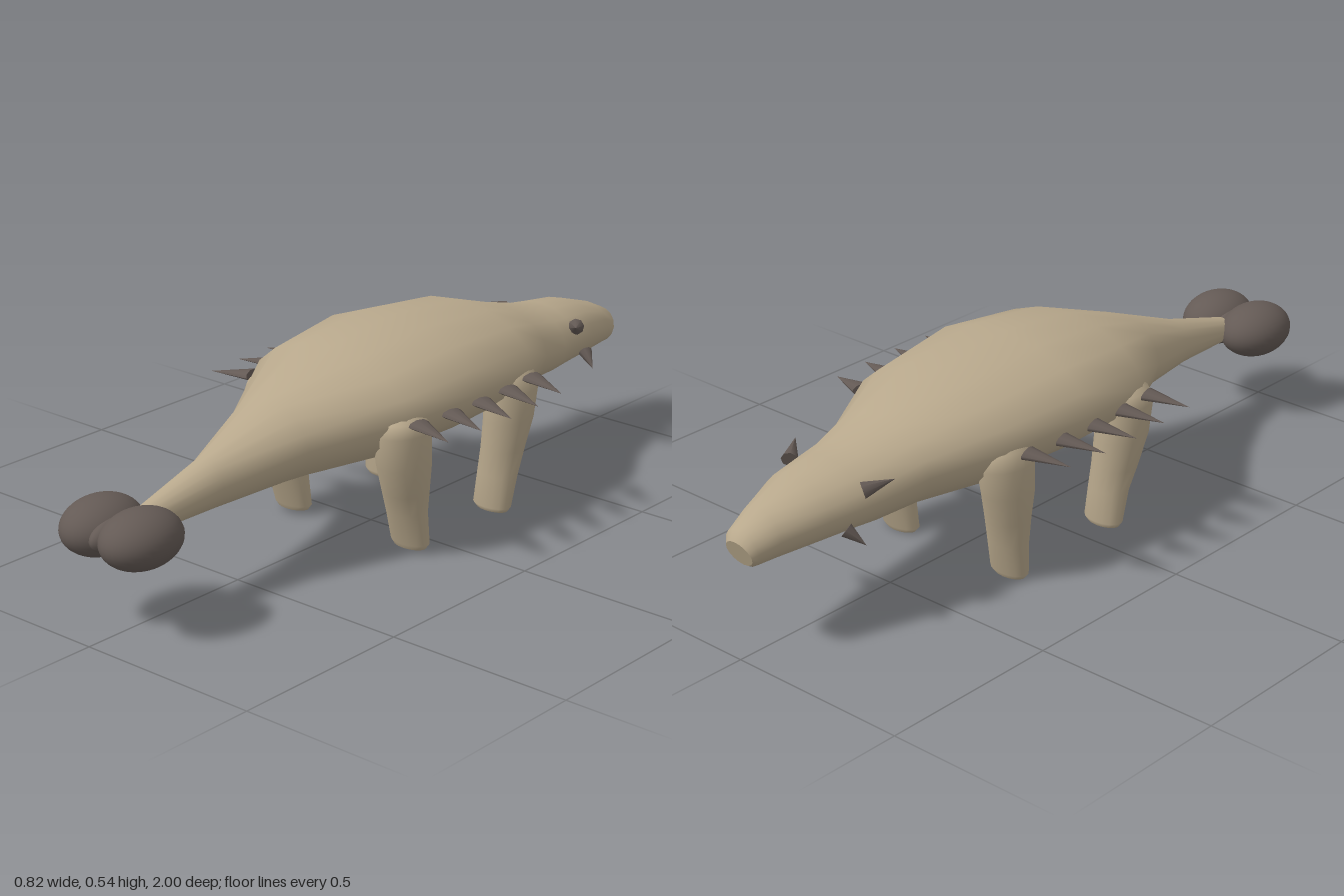
import * as THREE from 'three';

const SIDES = 16;

// Skin a list of rings (each an array of SIDES points) and close both ends.
function loft(rings) {
  const pos = [], idx = [];
  const add = (p) => { pos.push(p.x, p.y, p.z); return pos.length / 3 - 1; };
  const skin = rings.map((ring) => ring.map(add));
  for (let i = 0; i < rings.length - 1; i++) {
    for (let j = 0; j < SIDES; j++) {
      const k = (j + 1) % SIDES;
      const a = skin[i][j], b = skin[i][k], c = skin[i + 1][j], d = skin[i + 1][k];
      idx.push(a, c, b, b, c, d);
    }
  }
  const cap = (ring, flip) => {
    const mid = new THREE.Vector3();
    ring.forEach((p) => mid.addScaledVector(p, 1 / SIDES));
    const m = add(mid), edge = ring.map(add);
    for (let j = 0; j < SIDES; j++) {
      const k = (j + 1) % SIDES;
      if (flip) idx.push(m, edge[k], edge[j]);
      else idx.push(m, edge[j], edge[k]);
    }
  };
  cap(rings[0], false);
  cap(rings[rings.length - 1], true);
  const geo = new THREE.BufferGeometry();
  geo.setAttribute('position', new THREE.Float32BufferAttribute(pos, 3));
  geo.setIndex(idx);
  geo.computeVertexNormals();
  return geo;
}

function ringPoints(fn) {
  return Array.from({ length: SIDES }, (_, j) => {
    const a = (j / SIDES) * Math.PI * 2;
    return fn(Math.sin(a), Math.cos(a));
  });
}

export function createModel() {
  const model = new THREE.Group();
  const hide = new THREE.MeshStandardMaterial({ color: 0xb8a88c });
  hide.name = 'tan hide';
  const horn = new THREE.MeshStandardMaterial({ color: 0x645a55 });
  horn.name = 'dark horn';

  const add = (name, geo, mat) => {
    const mesh = new THREE.Mesh(geo, mat);
    mesh.name = name;
    model.add(mesh);
    return mesh;
  };

  // Body from snout to tail: z, half width, top, bottom, backward slant of the lower edge
  const body = [
    [-1.0, 0.042, 0.31, 0.242, 0.025],
    [-0.985, 0.055, 0.335, 0.237, 0.018],
    [-0.92, 0.073, 0.366, 0.238, 0],
    [-0.8, 0.112, 0.405, 0.24, 0],
    [-0.7, 0.13, 0.417, 0.238, 0],
    [-0.64, 0.138, 0.426, 0.233, 0],
    [-0.52, 0.165, 0.458, 0.237, 0],
    [-0.35, 0.245, 0.512, 0.236, 0],
    [-0.08, 0.282, 0.537, 0.236, 0],
    [0.16, 0.255, 0.512, 0.232, 0],
    [0.38, 0.13, 0.438, 0.227, 0],
    [0.6, 0.057, 0.352, 0.222, 0],
    [0.82, 0.033, 0.288, 0.222, 0],
  ];
  add('body', loft(body.map(([z, w, top, bottom, slant]) => ringPoints((s, c) =>
    new THREE.Vector3(w * s, (top + bottom) / 2 + (top - bottom) / 2 * c, z + slant * (1 - c) / 2)))), hide);

  // Legs from top to sole: y, inner x, outer x, front z, rear z
  const hindLeg = [
    [0.39, 0.18, 0.24, 0.09, 0.17],
    [0.372, 0.155, 0.272, 0.065, 0.205],
    [0.34, 0.148, 0.282, 0.052, 0.217],
    [0.25, 0.15, 0.28, 0.05, 0.2],
    [0.17, 0.147, 0.268, 0.05, 0.168],
    [0.11, 0.144, 0.257, 0.048, 0.143],
    [0.025, 0.141, 0.255, 0.045, 0.114],
    [0.012, 0.15, 0.246, 0.052, 0.107],
  ];
  const foreLeg = [
    [0.39, 0.18, 0.23, -0.35, -0.27],
    [0.37, 0.155, 0.26, -0.38, -0.235],
    [0.33, 0.147, 0.272, -0.39, -0.225],
    [0.25, 0.148, 0.272, -0.37, -0.228],
    [0.17, 0.142, 0.26, -0.345, -0.233],
    [0.1, 0.136, 0.25, -0.325, -0.234],
    [0.012, 0.129, 0.243, -0.3, -0.235],
    [0, 0.14, 0.233, -0.293, -0.242],
  ];
  // Spike: a cone from base to tip, optionally flattened in y
  const spike = (name, base, tip, radius, flat = 1) => {
    const dir = tip.clone().sub(base);
    const geo = new THREE.ConeGeometry(radius, dir.length(), 8);
    geo.applyQuaternion(new THREE.Quaternion().setFromUnitVectors(
      new THREE.Vector3(0, 1, 0), dir.clone().normalize()));
    const mid = base.clone().add(tip).multiplyScalar(0.5);
    if (flat !== 1) {
      // squash about the sloping centre line
      const p = geo.attributes.position;
      for (let i = 0; i < p.count; i++) {
        const line = p.getX(i) * dir.y / dir.x;
        p.setY(i, line + (p.getY(i) - line) * flat);
      }
      geo.computeVertexNormals();
    }
    add(name, geo, horn).position.copy(mid);
  };

  for (const [side, s] of [['left', 1], ['right', -1]]) {
    const V = (x, y, z) => new THREE.Vector3(x * s, y, z);
    for (const [name, rows] of [['HindLeg', hindLeg], ['ForeLeg', foreLeg]]) {
      add(side + name, loft(rows.map(([y, x0, x1, z0, z1]) => ringPoints((sn, c) =>
        new THREE.Vector3(s * (x0 + x1) / 2 + (x1 - x0) / 2 * sn, y, (z0 + z1) / 2 + (z1 - z0) / 2 * c)))), hide);
    }

    // Row of flank spikes
    for (let i = 0; i < 5; i++) {
      const z = -0.305 + i * 0.1125;
      const reach = 0.41 - 0.004 * (i - 2) ** 2;
      spike(side + 'FlankSpike' + (i + 1), V(reach - 0.118, 0.373, z), V(reach, 0.363, z + 0.027), 0.03, 0.45);
    }

    // Head and cheek horns
    spike(side + 'HeadHorn', V(0.122, 0.372, -0.705), V(0.167, 0.394, -0.642), 0.022);
    spike(side + 'CheekHorn', V(0.117, 0.287, -0.757), V(0.16, 0.253, -0.735), 0.019);

    // Tail club lobe
    const lobe = add(side + 'ClubLobe', new THREE.SphereGeometry(1, 32, 20), horn);
    lobe.scale.set(0.087, 0.072, 0.112);
    lobe.position.set(0.065 * s, 0.253, 0.884);
  }

  // Core between the club lobes
  const core = add('clubCore', new THREE.SphereGeometry(1, 24, 16), horn);
  core.scale.set(0.036, 0.046, 0.1);
  core.position.set(0, 0.253, 0.883);

  return model;
}
